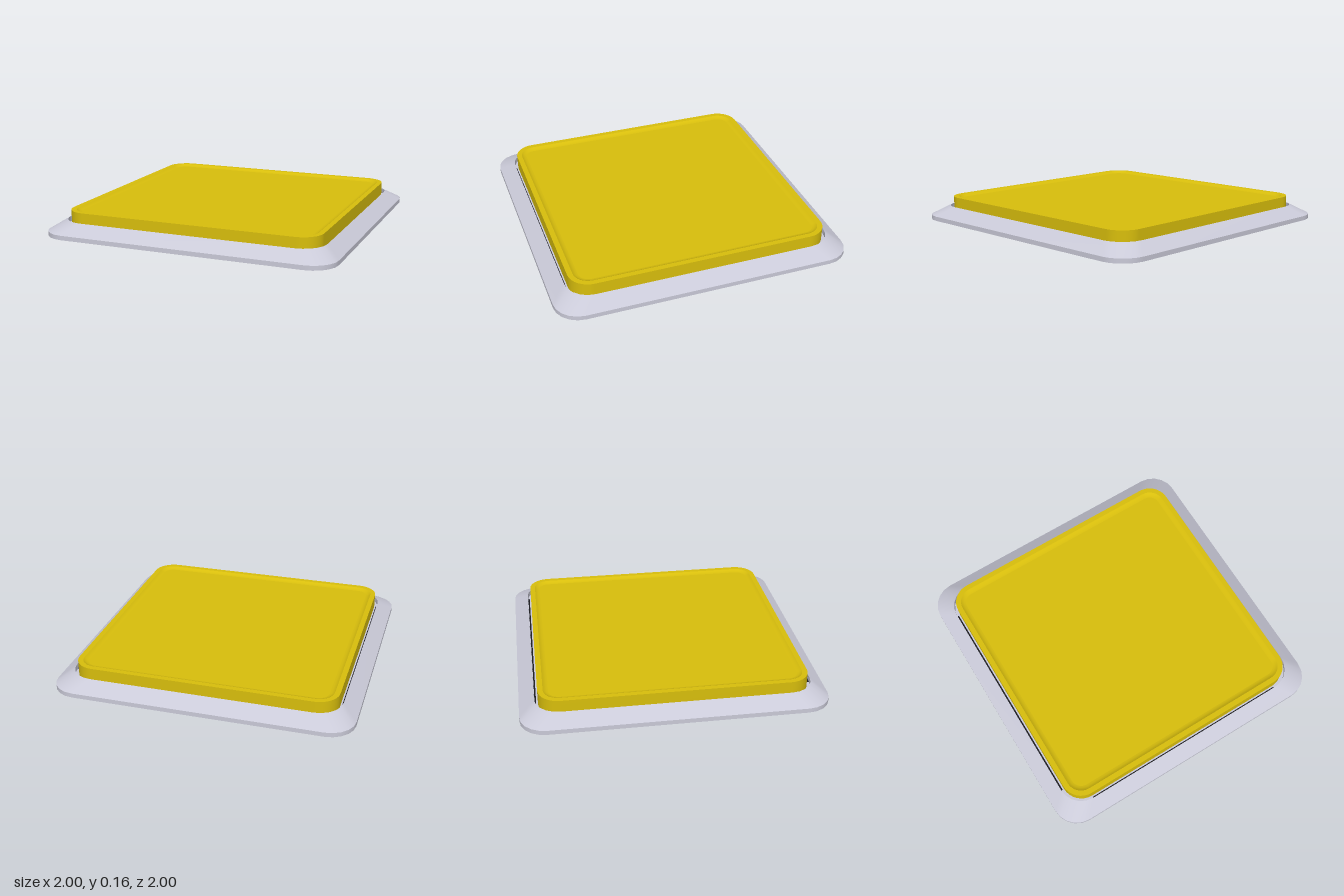
import * as THREE from 'three';

// Rounded square outline as [x, z] points
function ring(half, radius, segs) {
  const pts = [];
  for (let c = 0; c < 4; c++) {
    const mid = (c + 0.5) * Math.PI / 2;
    const cx = Math.sign(Math.cos(mid)) * (half - radius);
    const cz = Math.sign(Math.sin(mid)) * (half - radius);
    for (let i = 0; i <= segs; i++) {
      const a = (c + i / segs) * Math.PI / 2;
      pts.push([cx + radius * Math.cos(a), cz + radius * Math.sin(a)]);
    }
  }
  return pts;
}

// Smooth skin through a list of [half size, corner radius, height] outlines
function skin(profile, segs) {
  const pos = [], index = [], n = 4 * (segs + 1);
  for (const [half, radius, y] of profile) {
    for (const [x, z] of ring(half, radius, segs)) pos.push(x, y, z);
  }
  for (let k = 0; k < profile.length - 1; k++) {
    for (let i = 0; i < n; i++) {
      const a = k * n + i, a2 = k * n + (i + 1) % n;
      index.push(a, a + n, a2, a + n, a2 + n, a2);
    }
  }
  const geo = new THREE.BufferGeometry();
  geo.setAttribute('position', new THREE.Float32BufferAttribute(pos, 3));
  geo.setIndex(index);
  geo.computeVertexNormals();
  return geo;
}

// Each band is its own skin, so edges between bands stay sharp
function part(name, bands, segs, material) {
  const group = new THREE.Group();
  group.name = name;
  for (const [bandName, profile] of Object.entries(bands)) {
    const mesh = new THREE.Mesh(skin(profile, segs), material);
    mesh.name = bandName;
    group.add(mesh);
  }
  return group;
}

export function createModel() {
  const grey = new THREE.MeshStandardMaterial({ name: 'pale grey', color: 0xcacad8 });
  const yellow = new THREE.MeshStandardMaterial({ name: 'yellow', color: 0xd8be0c });
  const dark = new THREE.MeshStandardMaterial({ name: 'dark gap', color: 0x1c1c20 });

  const model = new THREE.Group();
  model.name = 'floorButton';

  // Sloped base plate with a shallow well for the button
  model.add(part('base', {
    underside: [[0, 0, 0], [1, 0.17, 0]],
    edge: [[1, 0.17, 0], [1, 0.17, 0.03]],
    slope: [[1, 0.17, 0.03], [0.9, 0.16, 0.096]],
    wellWall: [[0.9, 0.16, 0.096], [0.9, 0.16, 0.06]],
    wellFloor: [[0.9, 0.16, 0.06], [0, 0, 0.06]],
  }, 5, grey));

  // Thin dark strips along the straight sides of the gap
  const gap = new THREE.Group();
  gap.name = 'gap';
  for (let i = 0; i < 4; i++) {
    const strip = new THREE.Mesh(new THREE.BoxGeometry(1.48, 0.004, 0.01), dark);
    strip.name = 'gapStrip';
    const a = i * Math.PI / 2;
    strip.position.set(Math.sin(a) * 0.893, 0.063, Math.cos(a) * 0.893);
    strip.rotation.y = a;
    gap.add(strip);
  }
  model.add(gap);

  // Raised button with a flat rim and a dished top
  model.add(part('button', {
    side: [[0.877, 0.14, 0.06], [0.877, 0.14, 0.16]],
    rim: [[0.877, 0.14, 0.16], [0.842, 0.105, 0.16]],
    dishWall: [[0.842, 0.105, 0.16], [0.832, 0.095, 0.153], [0.82, 0.083, 0.148], [0.808, 0.071, 0.146]],
    dishFloor: [[0.808, 0.071, 0.146], [0, 0, 0.146]],
  }, 8, yellow));

  return model;
}
